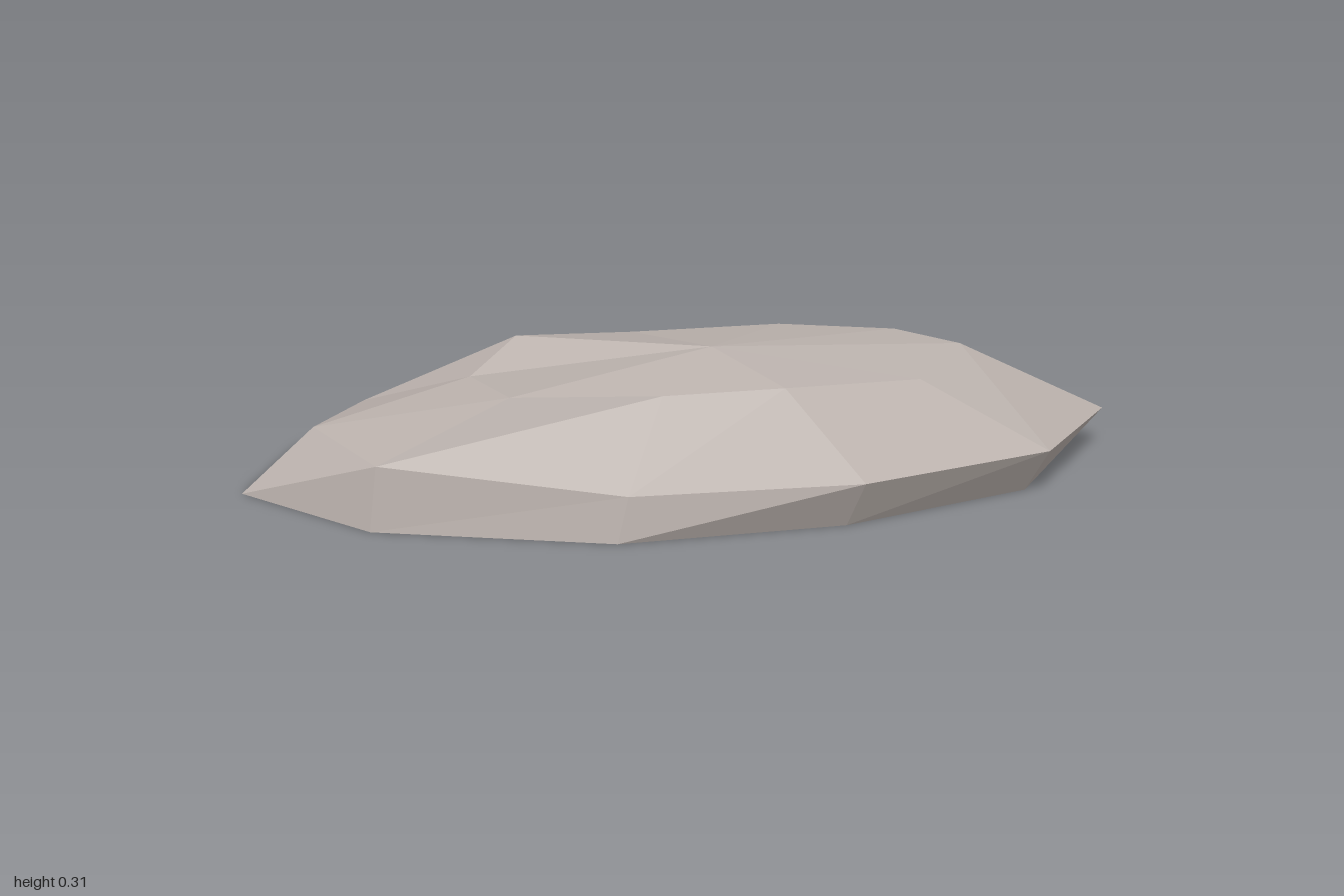
import * as THREE from 'three';

// Three irregular ten-sided rings, ordered from +x round through +z: [x, y, z]
const base = [
  [0.87, 0, -0.01], [0.75, 0, 0.225], [0.31, 0, 0.36], [-0.19, 0, 0.39], [-0.71, 0, 0.26],
  [-1, 0, 0.015], [-0.895, 0, -0.255], [-0.33, 0, -0.41], [0.28, 0, -0.39], [0.79, 0, -0.245],
];
const rim = [
  [0.995, 0.107, 0.02], [0.775, 0.123, 0.3], [0.335, 0.12, 0.418], [-0.165, 0.103, 0.38], [-0.69, 0.147, 0.25],
  [-0.835, 0.135, -0.03], [-0.73, 0.107, -0.26], [-0.4, 0.117, -0.42], [0.27, 0.086, -0.385], [0.84, 0.1, -0.21],
];
const crown = [
  [0.66, 0.261, -0.045], [0.52, 0.244, 0.135], [0.2, 0.262, 0.2], [-0.07, 0.257, 0.2], [-0.4, 0.271, 0.203],
  [-0.48, 0.25, 0], [-0.37, 0.305, -0.108], [-0.09, 0.257, -0.24], [0.265, 0.263, -0.235], [0.53, 0.265, -0.157],
];

// Joins triangles, given as point triples, into a faceted mesh
function facets(name, triangles, material) {
  const geometry = new THREE.BufferGeometry();
  geometry.setAttribute('position', new THREE.Float32BufferAttribute(triangles.flat(2), 3));
  geometry.computeVertexNormals();
  const mesh = new THREE.Mesh(geometry, material);
  mesh.name = name;
  return mesh;
}

// Band of facets between a lower and an upper ring
function band(lower, upper) {
  return lower.flatMap((p, i) => {
    const j = (i + 1) % lower.length;
    return [[p, upper[i], lower[j]], [upper[i], upper[j], lower[j]]];
  });
}

// Fan of facets from a centre point to a ring
function fan(centre, ring, up) {
  return ring.map((p, i) => {
    const next = ring[(i + 1) % ring.length];
    return up ? [centre, next, p] : [centre, p, next];
  });
}

export function createModel() {
  const group = new THREE.Group();
  group.name = 'rock';
  const stone = new THREE.MeshStandardMaterial({ color: 0xbab1ac });
  stone.name = 'warm grey stone';
  stone.flatShading = true;

  group.add(
    facets('lowerSides', band(base, rim), stone),
    facets('slopes', band(rim, crown), stone),
    facets('crown', fan([0.065, 0.3, 0.012], crown, true), stone),
    facets('underside', fan([0, 0, 0], base, false), stone),
  );
  return group;
}
